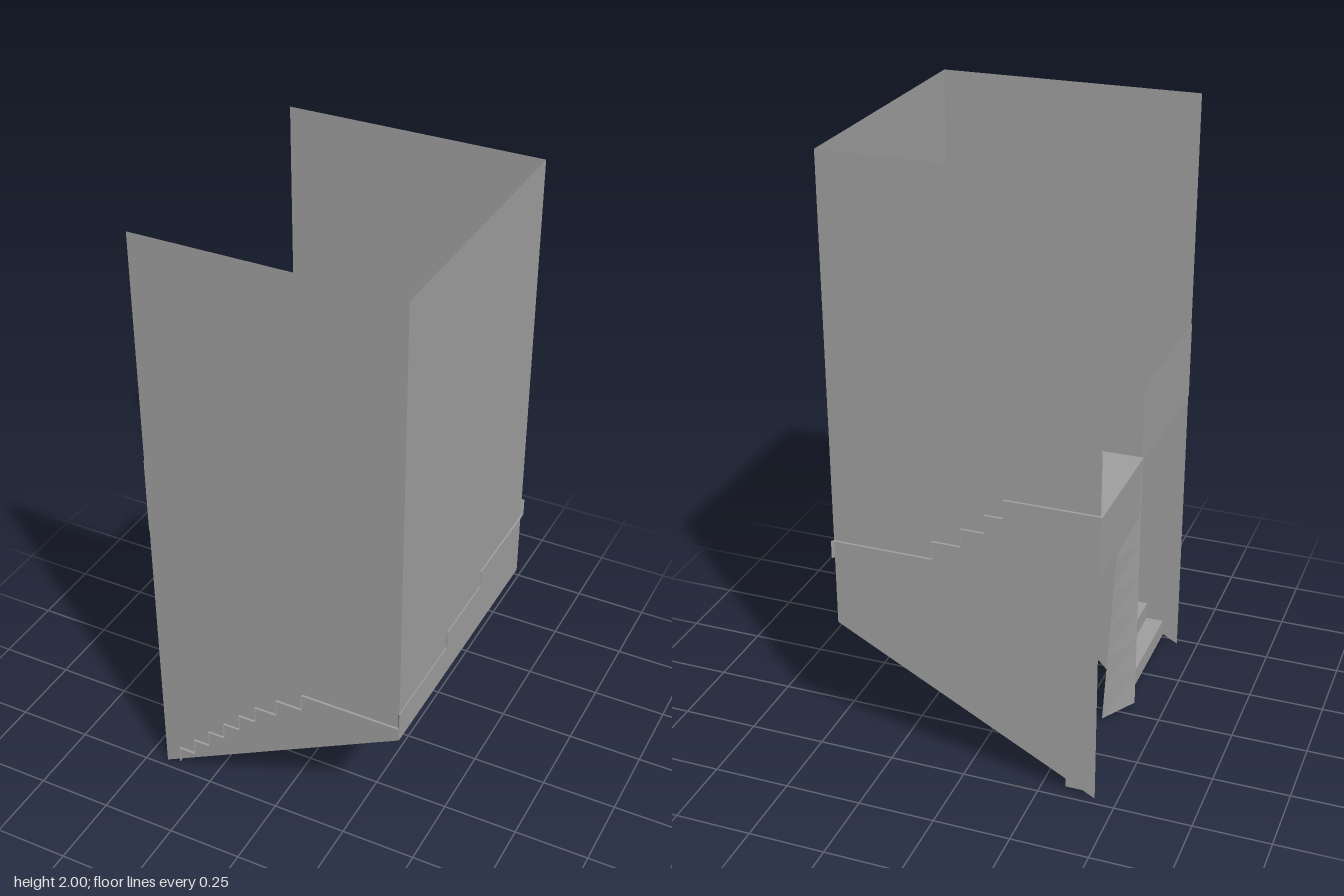
import * as THREE from 'three';

const material = new THREE.MeshStandardMaterial({ color: 0x9e9e9e, flatShading: true, side: THREE.DoubleSide });

// Thin convex panels, each a list of [x, y, z] corners, joined in one mesh
function panels(name, faces) {
  const positions = [];
  for (const f of faces) {
    for (let i = 1; i < f.length - 1; i++) positions.push(...f[0], ...f[i], ...f[i + 1]);
  }
  const geometry = new THREE.BufferGeometry();
  geometry.setAttribute('position', new THREE.Float32BufferAttribute(positions, 3));
  geometry.computeVertexNormals();
  const mesh = new THREE.Mesh(geometry, material);
  mesh.name = name;
  return mesh;
}

// Upright rectangle between two plan points [x, z]
const upright = ([ax, az], [bx, bz], y0, y1) => [[ax, y0, az], [bx, y0, bz], [bx, y1, bz], [ax, y1, az]];

// Upright panel in the plane of a given z, from [x, y] corners
const atZ = (z, points) => points.map(([x, y]) => [x, y, z]);

export function createModel() {
  const model = new THREE.Group();
  const W = 0.43, D = 0.475, TOP = 2, LOW = 0.46;
  const LANDING = 1.0, RAIL_LOW = 0.975, RAIL = 1.235;

  // Enclosing walls, open on one side, with a sloping lower edge
  const side = [[-W, 0], [W, LOW], [W, TOP], [-W, TOP]];
  model.add(panels('frontWall', [atZ(D, side)]));
  model.add(panels('backWall', [atZ(-D, side)]));
  model.add(panels('endWall', [upright([W, D], [W, -D], LOW, TOP)]));

  // Riser lines in plan: inner end, outer end
  const lines = [];
  for (const x of [-0.375, -0.315, -0.257, -0.198, -0.138, -0.077]) lines.push([[x, 0.062], [x, 0.483]]);
  const pivotA = [0.057, 0.075], pivotB = [0.06, -0.072];
  lines.push(
    [[-0.012, 0.062], [0.002, 0.483]],
    [[0.056, 0.062], [0.095, 0.483]],
    [pivotA, [0.433, 0.483]],
    [pivotA, [0.434, 0.132]],
    [pivotB, [0.435, -0.132]],
    [pivotB, [0.437, -0.483]],
    [pivotB, [0.1, -0.484]],
    [[-0.005, -0.07], [0.007, -0.484]],
    [[-0.07, -0.07], [-0.07, -0.484]],
    [[-0.13, -0.07], [-0.13, -0.484]],
    [[-0.437, -0.07], [-0.437, -0.484]],
  );

  // Folded stair sheet: a riser on each line and a tread to the next
  const start = 0.022, rise = (LANDING - start) / 16;
  const risers = [], treads = [];
  for (let i = 0; i < 16; i++) {
    const [a, b] = lines[i], [c, d] = lines[i + 1];
    const y = start + rise * (i + 1);
    risers.push(upright(a, b, y - rise, y));
    treads.push([a, b, d, c].map(([x, z]) => [x, y, z]));
  }
  model.add(panels('risers', risers));
  model.add(panels('treadsAndLanding', treads));

  // Walls around the stair well
  model.add(panels('spineWall', [atZ(0.06, [[-0.395, 0.015], [0.058, 0.48], [0.058, LANDING], [-0.395, LANDING]])]));
  model.add(panels('wellEnd', [upright([0.058, 0.06], [0.058, -0.07], 0.5, LANDING)]));

  // Landing parapet and edge board
  model.add(panels('parapet', [
    upright([-0.432, -0.07], [-0.432, D], RAIL_LOW, RAIL),
    atZ(-0.07, [[-0.432, RAIL_LOW], [-0.13, RAIL_LOW], [0.058, 0.76], [0.058, RAIL], [-0.432, RAIL]]),
  ]));
  model.add(panels('landingEdge', [upright([-0.43, -D], [-0.43, -0.07], 0.79, LANDING)]));

  // Inner support: a gently twisted sheet, one edge upright and one leaning
  const foot = 0.012, steps = 8, twisted = [];
  const leaning = (t) => [-0.325 - 0.055 * t, foot + (LANDING - foot) * t, -0.074];
  const straight = (t) => [-0.4, foot + (LANDING - foot) * t, 0.052];
  for (let i = 0; i < steps; i++) {
    const t = i / steps, u = (i + 1) / steps;
    twisted.push([leaning(t), straight(t), straight(u), leaning(u)]);
  }
  model.add(panels('innerPost', twisted));

  // Outer support: an angle of two plates
  model.add(panels('outerPost', [
    upright([-0.33, -0.38], [-0.33, -0.463], foot, LANDING),
    upright([-0.33, -0.463], [-0.39, -0.463], foot, LANDING),
  ]));

  return model;
}
